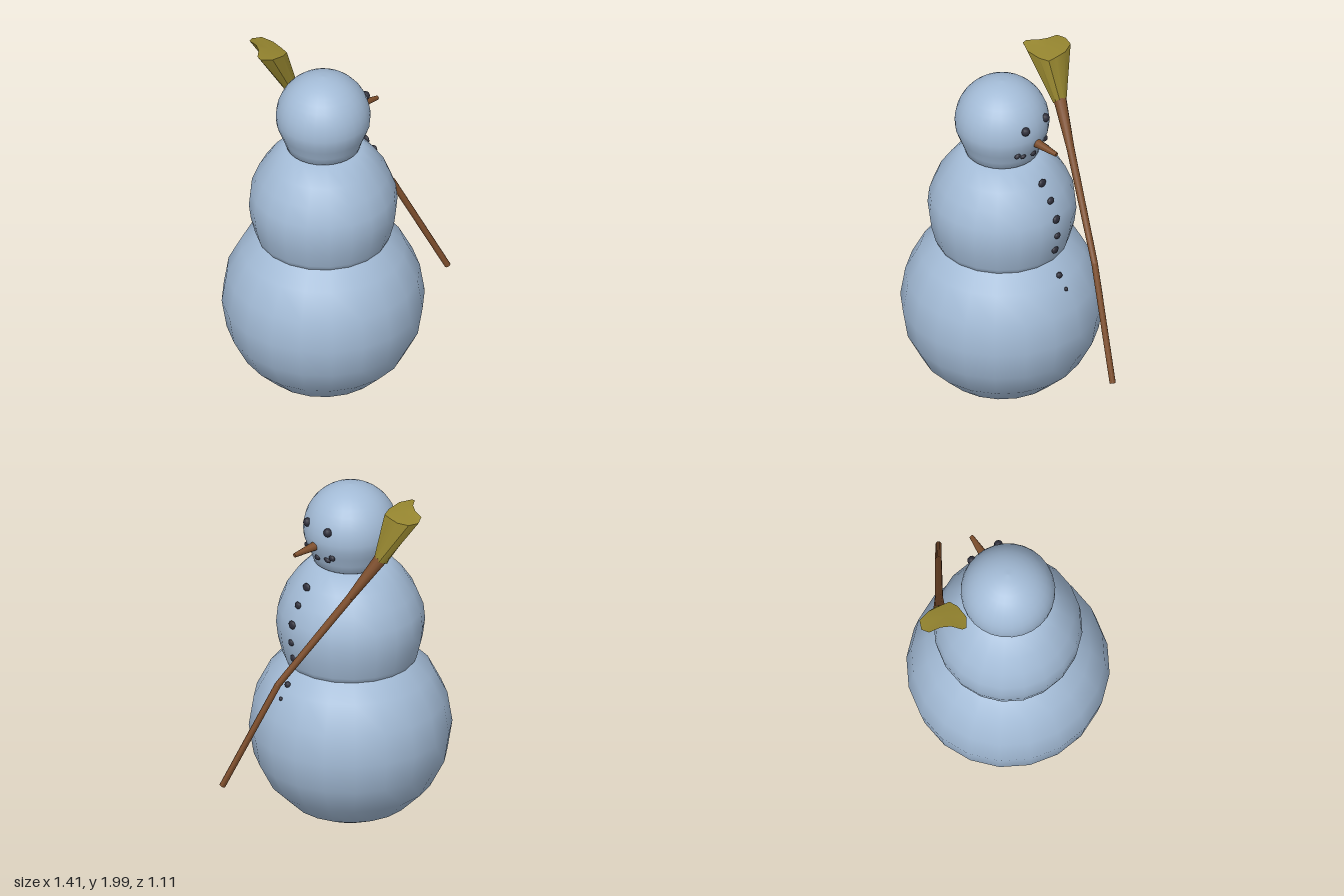
import * as THREE from 'three';
import { toCreasedNormals } from 'three/addons/utils/BufferGeometryUtils.js';

const CX = -0.153; // body axis

const colour = (name, hex) => Object.assign(new THREE.MeshStandardMaterial({ color: hex }), { name });

// Points of a ball profile from the lower angle to the top pole
function arc(r, cy, fromDeg, steps) {
  const pts = [];
  for (let i = 0; i <= steps; i++) {
    const a = THREE.MathUtils.degToRad(fromDeg + (90 - fromDeg) * i / steps);
    pts.push([Math.max(0, r * Math.cos(a)), cy + r * Math.sin(a)]);
  }
  return pts;
}

// Radius of a profile at a height
function radiusAt(profile, y) {
  for (let i = 1; i < profile.length; i++) {
    const [r0, y0] = profile[i - 1], [r1, y1] = profile[i];
    if (y >= y0 && y <= y1) return r0 + (r1 - r0) * (y - y0) / (y1 - y0);
  }
  return 0;
}

export function createModel() {
  const group = new THREE.Group();
  const snow = colour('snow', 0xa3bbd6);
  const coal = colour('coal', 0x2e2e3a);
  const wood = colour('wood', 0x7d4e2c);
  const straw = colour('straw', 0x95852f);

  const add = (name, geometry, material) => {
    const mesh = new THREE.Mesh(geometry, material);
    mesh.name = name;
    group.add(mesh);
    return mesh;
  };

  // Three snowballs
  const lower = arc(0.552, 0.56, -90, 10);
  const middle = [[0.3, 0.93], [0.355, 0.965], [0.37, 1.0], [0.393, 1.09], [0.404, 1.18],
    [0.395, 1.27], [0.355, 1.37], [0.295, 1.46], [0.215, 1.545], [0, 1.58]];
  const head = [[0.17, 1.535], [0.2, 1.555], [0.215, 1.6], [0.235, 1.65], ...arc(0.257, 1.743, -10, 11)];
  const ball = (name, profile, sides) => {
    const mesh = add(name, new THREE.LatheGeometry(profile.map(p => new THREE.Vector2(...p)), sides), snow);
    mesh.position.x = CX;
  };
  ball('lowerBall', lower, 20);
  ball('middleBall', middle, 20);
  ball('head', head, 28);

  // Lumps of coal pressed into the snow, facing +x
  const lump = (name, profile, y, z, size, depth, stretch = 1, tilt = 0) => {
    const r = radiusAt(profile, y);
    const mesh = add(name, new THREE.SphereGeometry(1, 10, 8), coal);
    mesh.position.set(CX + Math.sqrt(r * r - z * z), y, z);
    mesh.scale.set(depth, size, size * stretch);
    mesh.rotation.x = tilt;
  };
  for (const z of [0.08, -0.09]) lump('eye', head, 1.81, z, 0.025, 0.024);
  const mouth = [[0.115, 1.657, 0.014, 1.6, -0.5], [0.08, 1.64, 0.013, 1.4, -0.4], [0.005, 1.625, 0.017, 1.1, 0],
    [-0.07, 1.635, 0.014, 1.7, 0.3], [-0.105, 1.658, 0.018, 1.2, 0.4]];
  for (const [z, y, size, stretch, tilt] of mouth) lump('mouthCoal', head, y, z, size, 0.014, stretch, -tilt);
  const buttons = [[1.46, 0.025], [1.37, 0.021], [1.265, 0.024], [1.16, 0.019], [1.06, 0.022]];
  for (const [y, size] of buttons) lump('button', middle, y, 0.012, size, 0.014, 1.1);
  lump('button', lower, 0.91, 0.018, 0.018, 0.016, 1.1);
  lump('button', lower, 0.84, 0.018, 0.011, 0.012);

  // Tapered rod between two points
  const rod = (name, a, b, ra, rb, sides = 10) => {
    const from = new THREE.Vector3(...a), to = new THREE.Vector3(...b);
    const dir = to.clone().sub(from);
    const geometry = toCreasedNormals(new THREE.CylinderGeometry(rb, ra, dir.length(), sides), 0.9);
    const mesh = add(name, geometry, wood);
    mesh.position.copy(from).add(to).multiplyScalar(0.5);
    mesh.quaternion.setFromUnitVectors(new THREE.Vector3(0, 1, 0), dir.normalize());
  };
  rod('nose', [0.06, 1.704, 0.002], [0.235, 1.686, 0.002], 0.029, 0.012);
  const bend = [0.425, 1.0, -0.092];
  rod('broomStick', [0.685, 0.41, 0.065], bend, 0.017, 0.018);
  rod('broomStick', bend, [0.085, 1.5, -0.293], 0.018, 0.022);
  rod('broomStick', [0.085, 1.5, -0.293], [-0.06, 1.72, -0.375], 0.022, 0.036);
  const joint = add('broomStickBend', new THREE.SphereGeometry(0.0185, 10, 8), wood);
  joint.position.set(...bend);

  // Straw brush: a small round base fanning out to a bean-shaped top
  const rim = [[-0.175, 1.97, -0.56], [-0.215, 1.985, -0.535], [-0.225, 1.995, -0.47], [-0.25, 2, -0.42],
    [-0.297, 2, -0.375], [-0.3, 1.995, -0.35], [-0.24, 1.985, -0.316], [-0.16, 1.97, -0.322],
    [-0.112, 1.96, -0.345], [-0.105, 1.96, -0.4], [-0.1, 1.96, -0.47], [-0.122, 1.965, -0.54]];
  const centre = new THREE.Vector3(-0.18, 1.985, -0.41);
  const base = new THREE.Vector3(-0.06, 1.705, -0.375);
  const tops = rim.map(p => new THREE.Vector3(...p));
  const feet = tops.map(t => {
    const d = t.clone().sub(centre).setY(0).normalize();
    return base.clone().addScaledVector(d, 0.037).add(new THREE.Vector3(0, d.x * 0.015, 0));
  });
  const corners = [];
  tops.forEach((t, i) => {
    const j = (i + 1) % tops.length;
    corners.push(feet[i], feet[j], tops[j], feet[i], tops[j], t, t, tops[j], centre, feet[j], feet[i], base);
  });
  const brush = new THREE.BufferGeometry().setFromPoints(corners);
  brush.computeVertexNormals();
  add('broomBrush', toCreasedNormals(brush, 0.6), straw);

  return group;
}
